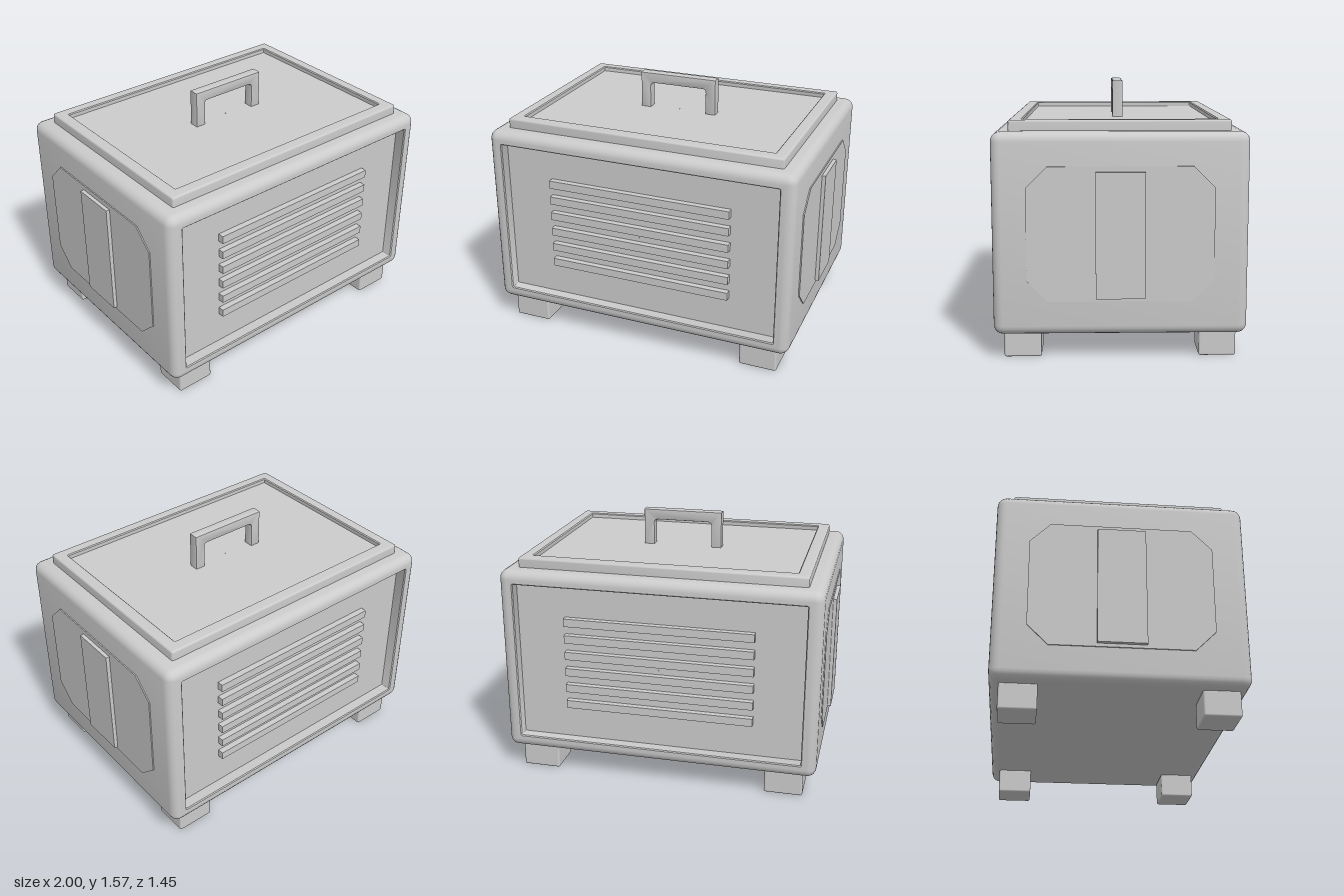
import * as THREE from 'three';
import { toCreasedNormals } from 'three/addons/utils/BufferGeometryUtils.js';
import { RoundedBoxGeometry } from 'three/addons/geometries/RoundedBoxGeometry.js';

const material = new THREE.MeshStandardMaterial({ color: 0xcccccc });

function add(parent, name, geometry, x = 0, y = 0, z = 0) {
  const mesh = new THREE.Mesh(geometry, material);
  mesh.name = name;
  mesh.position.set(x, y, z);
  parent.add(mesh);
  return mesh;
}

// Points of a rounded rectangle, counter-clockwise seen from +z
function ringPoints([hw, hh, radius, z]) {
  const r = Math.max(radius, 0.001), points = [], steps = 5;
  for (let c = 0; c < 4; c++) {
    const sx = c === 0 || c === 3 ? 1 : -1, sy = c < 2 ? 1 : -1;
    for (let i = 0; i <= steps; i++) {
      const a = (c + i / steps) * Math.PI / 2;
      points.push([sx * (hw - r) + r * Math.cos(a), sy * (hh - r) + r * Math.sin(a), z]);
    }
  }
  return points;
}

// Skin over rounded rectangles [halfWidth, halfHeight, cornerRadius, z], going towards +z
function loft(rings) {
  const loops = rings.map(ringPoints), positions = [];
  for (let i = 0; i + 1 < loops.length; i++) {
    const p = loops[i], q = loops[i + 1];
    for (let j = 0; j < p.length; j++) {
      const k = (j + 1) % p.length;
      positions.push(...p[j], ...p[k], ...q[k], ...p[j], ...q[k], ...q[j]);
    }
  }
  const geometry = new THREE.BufferGeometry();
  geometry.setAttribute('position', new THREE.Float32BufferAttribute(positions, 3));
  return toCreasedNormals(geometry, 0.6);
}

// Front half of a rounded block: side edge, rounded rim, then the recess and its floor
function recessedEnd(hw, hh, z, r, innerW, innerH, depth, lip) {
  const rings = [], steps = 5;
  for (let i = 0; i <= steps; i++) {
    const a = i / steps * Math.PI / 2, inset = r * (1 - Math.cos(a));
    rings.push([hw - inset, hh - inset, r - inset, z - r * (1 - Math.sin(a))]);
  }
  rings.push(
    [innerW + lip, innerH + lip, 0.01, z],
    [innerW, innerH, 0.005, z - lip],
    [innerW, innerH, 0.005, z - depth],
    [0.002, 0.002, 0.001, z - depth]
  );
  return rings;
}

export function createModel() {
  const group = new THREE.Group();
  group.name = 'ventilatedCase';

  // Main housing with recessed front and back
  const front = recessedEnd(0.97, 0.58, 0.725, 0.055, 0.88, 0.497, 0.07, 0.006);
  const back = front.map(([w, h, r, z]) => [w, h, r, -z]).reverse();
  add(group, 'housing', loft([...back, ...front]), 0, 0.73, 0);

  // Six vent slats on each recessed face
  for (const side of [1, -1]) {
    for (let i = 0; i < 6; i++) {
      add(group, side > 0 ? 'frontSlat' : 'backSlat', new THREE.BoxGeometry(1.16, 0.05, 0.045),
        0, 1.0 - i * 0.107, side * 0.67);
    }
  }

  // Lid with a shallow tray in its top
  const lid = recessedEnd(0.873, 0.63, 1.37, 0.012, 0.8, 0.556, 0.03, 0.006);
  add(group, 'lid', loft([[0.873, 0.63, 0.012, 1.3], ...lid])).rotation.x = -Math.PI / 2;

  // Carrying handle, a square arch with eased inner corners
  const arch = new THREE.Shape();
  const e = 0.006, outer = 0.25 - e, inner = 0.185 + e, foot = 1.335, top = 1.565 - e, under = 1.5 + e;
  arch.moveTo(-outer, foot);
  arch.lineTo(-inner, foot);
  arch.lineTo(-inner, under - 0.03);
  arch.quadraticCurveTo(-inner, under, -inner + 0.03, under);
  arch.lineTo(inner - 0.03, under);
  arch.quadraticCurveTo(inner, under, inner, under - 0.03);
  arch.lineTo(inner, foot);
  arch.lineTo(outer, foot);
  arch.lineTo(outer, top);
  arch.lineTo(-outer, top);
  arch.closePath();
  const handle = new THREE.ExtrudeGeometry(arch, {
    depth: 0.064 - 2 * e, bevelEnabled: true, bevelSize: e, bevelThickness: e, bevelSegments: 2, curveSegments: 6
  });
  handle.translate(0, 0, -0.032 + e);
  add(group, 'handle', toCreasedNormals(handle, 0.6));

  // Side panels: thin eight-sided plate with a raised upright grip
  const hz = 0.53, hy = 0.385, c = 0.12;
  const plate = new THREE.Shape([
    [hz, hy - c], [hz - c, hy], [c - hz, hy], [-hz, hy - c],
    [-hz, c - hy], [c - hz, -hy], [hz - c, -hy], [hz, c - hy]
  ].map(([x, y]) => new THREE.Vector2(x, y)));
  const plateGeometry = new THREE.ExtrudeGeometry(plate, { depth: 0.027, bevelEnabled: false });
  for (const side of [1, -1]) {
    const name = side > 0 ? 'left' : 'right';
    add(group, name + 'SidePlate', plateGeometry, side * 0.95, 0.735, 0).rotation.y = side * Math.PI / 2;
    add(group, name + 'SideGrip', new THREE.BoxGeometry(0.06, 0.72, 0.28), side * 0.97, 0.73, 0);
  }

  // Four block feet
  for (const x of [0.775, -0.775]) {
    for (const z of [0.5625, -0.5625]) {
      add(group, 'foot', new RoundedBoxGeometry(0.235, 0.155, 0.215, 3, 0.012), x, 0.0775, z);
    }
  }
  return group;
}
